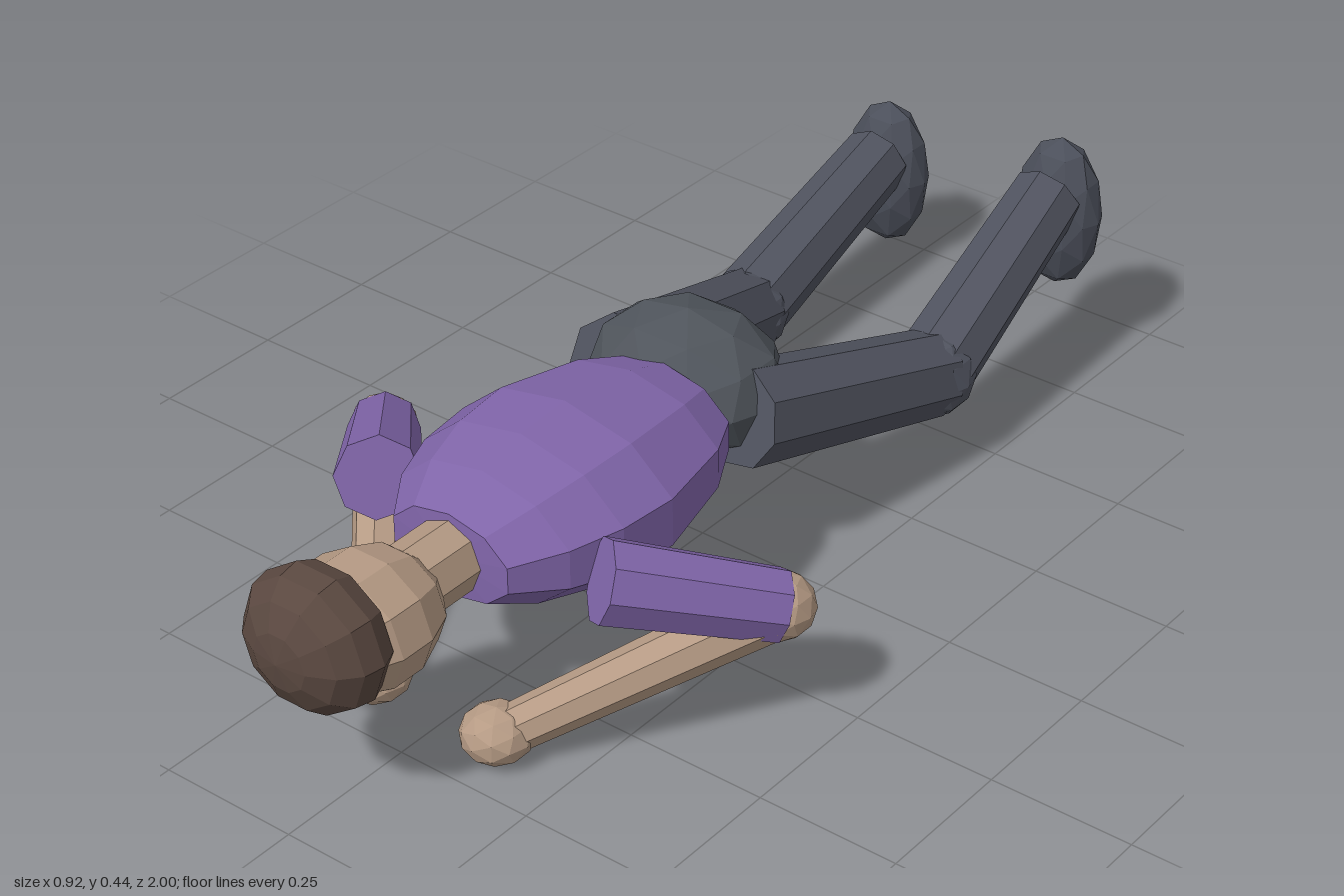
import * as THREE from 'three';

const paint = (name, color) => {
  const m = new THREE.MeshStandardMaterial({ color, flatShading: true });
  m.name = name;
  return m;
};

export function createModel() {
  const group = new THREE.Group();
  const skin = paint('skin', 0xb59a84);
  const hair = paint('hair', 0x5a4840);
  const shirt = paint('purple shirt', 0x8065a9);
  const trousers = paint('dark trousers', 0x50535f);
  const hips = paint('hip grey', 0x4f545b);
  const shoe = paint('shoes', 0x4b4f5a);

  const add = (name, geometry, material) => {
    const mesh = new THREE.Mesh(geometry, material);
    mesh.name = name;
    group.add(mesh);
    return mesh;
  };

  // Faceted ellipsoid
  const blob = (name, pos, radii, material) => {
    const g = new THREE.IcosahedronGeometry(1, 1);
    g.scale(...radii);
    return add(name, g.translate(...pos), material);
  };

  // Tapered eight-sided limb from a to b
  const limb = (name, a, b, ra, rb, material) => {
    const start = new THREE.Vector3(...a);
    const end = new THREE.Vector3(...b);
    const dir = end.clone().sub(start);
    const mesh = add(name, new THREE.CylinderGeometry(rb, ra, dir.length(), 8), material);
    mesh.position.copy(start).add(end).multiplyScalar(0.5);
    mesh.quaternion.setFromUnitVectors(new THREE.Vector3(0, 1, 0), dir.normalize());
    return mesh;
  };

  // Torso lying along z, with blunt ends
  const profile = [[0, 0.1], [0.62, 0.1], [0.83, 0.185], [1, 0.345], [0.95, 0.45], [0.8, 0.54], [0.54, 0.62], [0, 0.625]];
  const torso = new THREE.LatheGeometry(profile.map(([r, z]) => new THREE.Vector2(r, z)), 10);
  torso.rotateX(Math.PI / 2);
  torso.scale(0.222, 0.138, 1);
  add('torso', torso.translate(0, 0.297, 0), shirt);
  blob('pelvis', [-0.03, 0.303, 0], [0.175, 0.124, 0.143], hips);

  // Neck, head and the hair capping the crown
  limb('neck', [0, 0.297, 0.56], [0, 0.297, 0.76], 0.063, 0.063, skin);
  const head = new THREE.SphereGeometry(1, 10, 7);
  head.rotateX(Math.PI / 2);
  head.scale(0.122, 0.108, 0.142);
  add('head', head.translate(0, 0.292, 0.825), skin);
  const cap = new THREE.SphereGeometry(1, 10, 5, 0, Math.PI * 2, 0, Math.PI * 0.66);
  cap.rotateX(Math.PI / 2);
  cap.scale(0.127, 0.121, 0.088);
  add('hair', cap.translate(0, 0.312, 0.912), hair);

  // Bent arms, mirrored
  for (const [side, s] of [['left', 1], ['right', -1]]) {
    const elbow = [s * 0.405, 0.217, 0.327];
    limb(side + 'UpperArm', [s * 0.225, 0.3, 0.535], elbow, 0.07, 0.06, shirt);
    blob(side + 'Elbow', elbow, [0.057, 0.057, 0.057], skin);
    limb(side + 'Forearm', elbow, [s * 0.14, 0.053, 0.655], 0.05, 0.039, skin);
    blob(side + 'Hand', [s * 0.125, 0.048, 0.668], [0.06, 0.048, 0.06], skin);
  }

  // Legs, each with its own pose
  const legs = [
    ['left', [0.095, 0.285, 0.03], [0.16, 0.168, -0.425], [0.14, 0.34, -0.8], [0.14, 0.293, -0.838]],
    ['right', [-0.155, 0.285, 0.03], [-0.267, 0.113, -0.465], [-0.295, 0.225, -0.9], [-0.297, 0.18, -0.94]],
  ];
  for (const [side, hip, knee, ankle, foot] of legs) {
    limb(side + 'Thigh', hip, knee, 0.088, 0.077, trousers);
    blob(side + 'Knee', knee, [0.078, 0.078, 0.078], trousers);
    limb(side + 'Shin', knee, ankle, 0.073, 0.064, trousers);
    blob(side + 'Foot', foot, [0.083, 0.145, 0.06], shoe);
  }

  return group;
}
